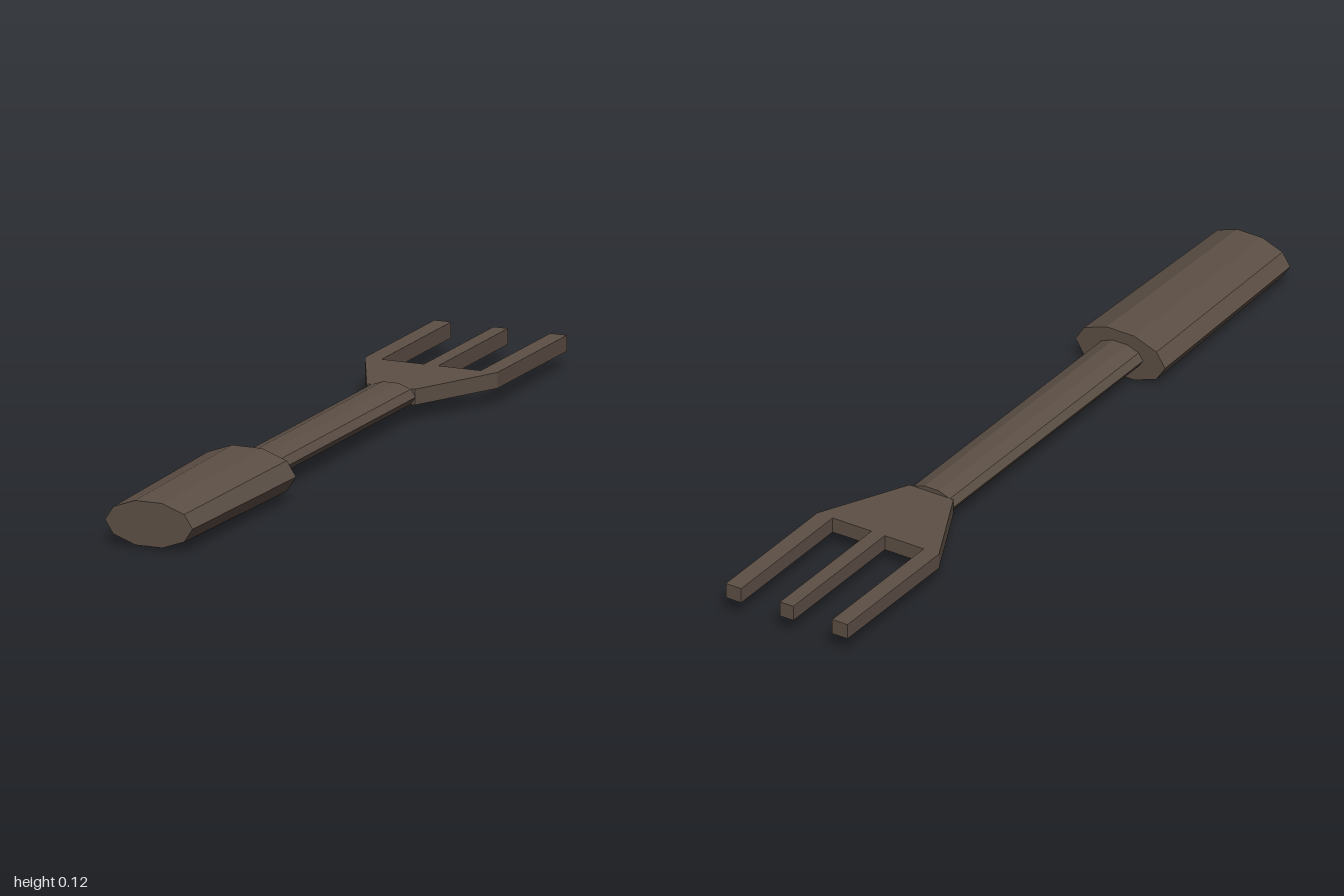
import * as THREE from 'three';

const MID = 0.061; // height of the tool's long axis
const material = new THREE.MeshStandardMaterial({ color: 0x5c4f45, flatShading: true });

// Flattened ten-sided rod along z, with flats on top and bottom
function rod(name, rxFront, rxBack, flatness, zFront, zBack) {
  const geo = new THREE.CylinderGeometry(rxFront, rxBack, zFront - zBack, 10, 1, false, Math.PI / 2);
  geo.rotateX(Math.PI / 2);
  geo.scale(1, flatness, 1);
  geo.translate(0, MID, (zFront + zBack) / 2);
  const mesh = new THREE.Mesh(geo, material);
  mesh.name = name;
  return mesh;
}

// Flared plate and three tines cut from one slab
function forkHead() {
  const thickness = 0.039, tip = 1, root = 0.605, neck = 0.375;
  const outer = 0.174, inner = 0.13, middle = 0.019;
  const right = [
    [0.063, neck], [outer, root], [outer, tip], [inner, tip],
    [inner, root], [middle, root], [middle, tip],
  ];
  const left = right.map(([x, y]) => [-x, y]).reverse();
  const shape = new THREE.Shape([...right, ...left].map(([x, y]) => new THREE.Vector2(x, y)));
  const geo = new THREE.ExtrudeGeometry(shape, { depth: thickness, bevelEnabled: false });
  geo.rotateX(-Math.PI / 2);
  geo.translate(0, MID - thickness / 2, 0);
  const mesh = new THREE.Mesh(geo, material);
  mesh.name = 'forkHead';
  return mesh;
}

export function createModel() {
  const group = new THREE.Group();
  group.name = 'handFork';
  group.add(
    rod('grip', 0.115, 0.128, 0.5, 1, 0.44),
    rod('shaft', 0.065, 0.065, 0.49, 0.46, -0.375),
    forkHead(),
  );
  return group;
}
